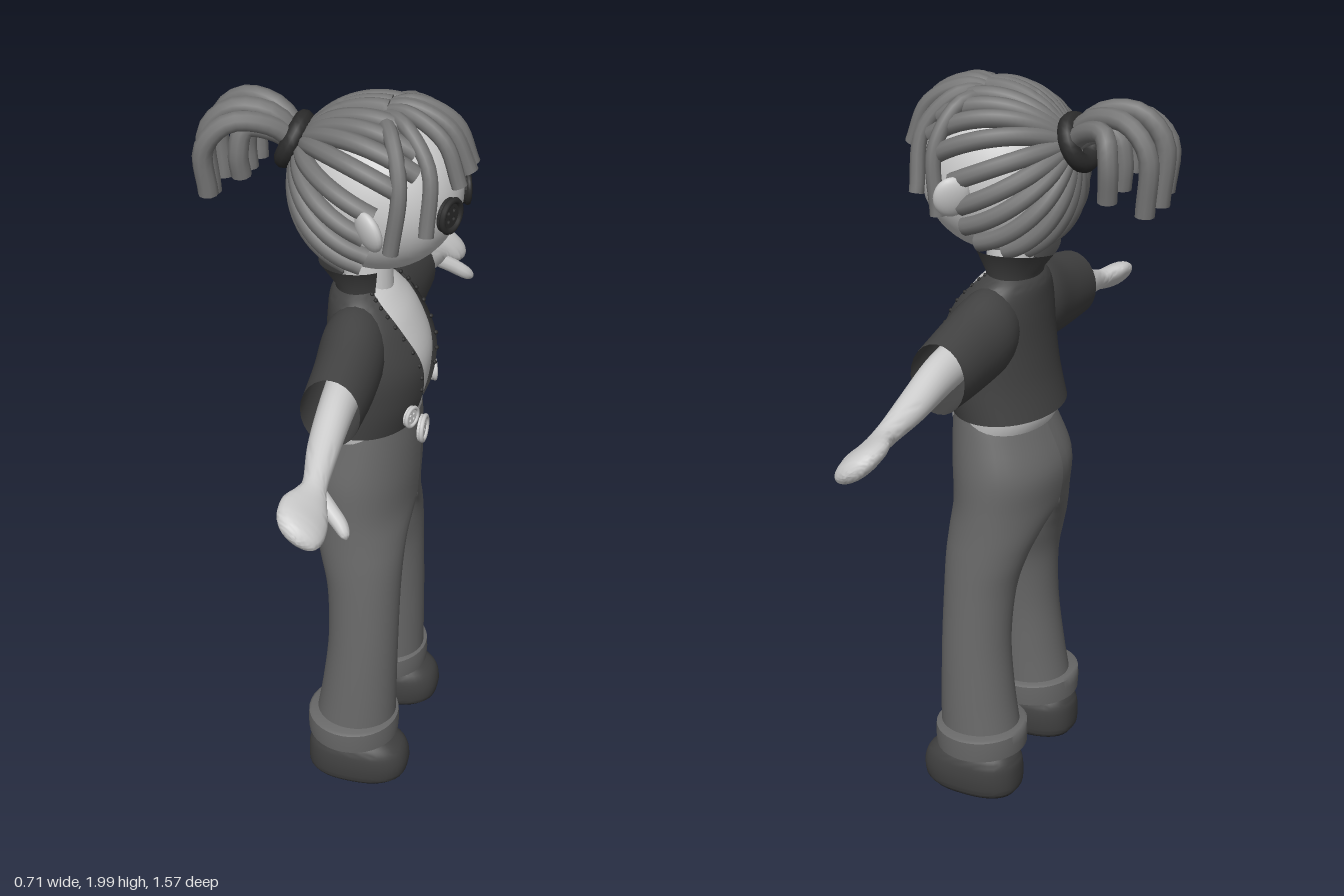
import * as THREE from 'three';
import { toCreasedNormals } from 'three/addons/utils/BufferGeometryUtils.js';

const V = (x, y, z) => new THREE.Vector3(x, y, z);
const mat = (color, side = THREE.FrontSide) => new THREE.MeshStandardMaterial({ color, side });
const skin = mat(0xcccccc), hair = mat(0x757575), dark = mat(0x2b2b2b), denim = mat(0x686868);
const cloth = mat(0x424242, THREE.DoubleSide), shoeMat = mat(0x404040);

function add(parent, name, geometry, material) {
  const mesh = new THREE.Mesh(geometry, material);
  mesh.name = name;
  parent.add(mesh);
  return mesh;
}

// Catmull-Rom resampling of rows of numbers
function smooth(rows, k = 5) {
  const out = [], last = rows.length - 1;
  for (let i = 0; i < last; i++) {
    const [a, b, c, d] = [rows[Math.max(i - 1, 0)], rows[i], rows[i + 1], rows[Math.min(i + 2, last)]];
    for (let s = 0; s < k; s++) {
      const t = s / k;
      out.push(b.map((v, j) => {
        const slope = c[j] - a[j], bend = 2 * a[j] - 5 * v + 4 * c[j] - d[j], twist = 3 * (v - c[j]) + d[j] - a[j];
        return v + 0.5 * t * (slope + t * (bend + t * twist));
      }));
    }
  }
  out.push(rows[last]);
  return out;
}

// Skin over a stack of rings
function loft(rings, { closed = true, caps = true, crease = 0.9 } = {}) {
  const n = rings[0].length, pos = rings.flat().flatMap(p => [p.x, p.y, p.z]), idx = [];
  for (let i = 0; i < rings.length - 1; i++) {
    for (let j = 0; j < (closed ? n : n - 1); j++) {
      const a = i * n + j, b = i * n + (j + 1) % n, c = a + n, d = b + n;
      idx.push(a, c, b, b, c, d);
    }
  }
  if (caps) [0, rings.length - 1].forEach(r => {
    const mid = rings[r].reduce((s, p) => s.add(p), V(0, 0, 0)).divideScalar(n), m = pos.length / 3;
    pos.push(mid.x, mid.y, mid.z);
    for (let j = 0; j < n; j++) {
      const a = r * n + j, b = r * n + (j + 1) % n;
      if (r) idx.push(a, m, b); else idx.push(a, b, m);
    }
  });
  const g = new THREE.BufferGeometry();
  g.setAttribute('position', new THREE.Float32BufferAttribute(pos, 3));
  g.setIndex(idx);
  return toCreasedNormals(g, crease);
}

const ring = (n, f) => Array.from({ length: n }, (_, j) => f(Math.cos(j / n * Math.PI * 2), Math.sin(j / n * Math.PI * 2)));
const round = (v, p) => Math.sign(v) * Math.pow(Math.abs(v), p);

// Upright form, rows: [y, centre x, half width, back z, front z]
const upright = (rows, p = 1) => loft(rows.map(([y, cx, rx, z0, z1]) =>
  ring(36, (c, s) => V(cx + rx * round(c, p), y, (z0 + z1) / 2 + (z1 - z0) / 2 * round(s, p)))));

// Sideways form, rows: [x, centre y, half height, centre z, half depth, tilt]
const sideways = (rows, opts) => loft(rows.map(([x, cy, ry, cz, rz, tilt]) =>
  ring(24, (c, s) => V(x, cy + ry * c + tilt * rz * s, cz - rz * s))), opts);

// Strand along a smooth curve with flat ends; radius is a function of the position along it
function strand(points, radius, steps = 16, sides = 10) {
  const curve = new THREE.CatmullRomCurve3(points), f = curve.computeFrenetFrames(steps);
  return loft(Array.from({ length: steps + 1 }, (_, i) => {
    const p = curve.getPointAt(i / steps), r = radius(i / steps);
    return ring(sides, (c, s) => p.clone().addScaledVector(f.normals[i], r * c).addScaledVector(f.binormals[i], -r * s));
  }));
}

// Four-hole sewing button facing +z
function button(parent, name, r, material, x, y, z, yaw = 0) {
  const g = new THREE.Group();
  g.name = name;
  const disc = new THREE.Shape().absarc(0, 0, r * 0.92, 0, Math.PI * 2);
  for (const a of [-1, 1]) for (const b of [-1, 1])
    disc.holes.push(new THREE.Path().absarc(a * r * 0.24, b * r * 0.24, r * 0.12, 0, Math.PI * 2, true));
  add(g, 'buttonDisc', new THREE.ExtrudeGeometry(disc, { depth: r * 0.3, bevelEnabled: false, curveSegments: 14 }), material);
  add(g, 'buttonRim', new THREE.TorusGeometry(r * 0.83, r * 0.17, 8, 28), material).position.z = r * 0.3;
  g.position.set(x, y, z);
  g.rotation.y = yaw;
  parent.add(g);
}

// Jacket body rows: [y, half width, back z, front z, half opening]
const jacketRows = smooth([
  [1.11, 0.19, -0.07, 0.215, 0.075], [1.2, 0.195, -0.048, 0.24, 0.06], [1.3, 0.195, -0.035, 0.245, 0.078],
  [1.4, 0.175, -0.03, 0.205, 0.1], [1.46, 0.135, -0.025, 0.16, 0.095], [1.49, 0.095, -0.005, 0.125, 0.075]]);

const jacketPoint = ([y, rx, z0, z1], phi) => V(rx * Math.sin(phi), y, (z0 + z1) / 2 + (z1 - z0) / 2 * Math.cos(phi));

function buildHead(body) {
  const head = new THREE.Group();
  head.name = 'head';
  body.add(head);
  const C = V(0, 1.75, 0.1), R = V(0.192, 0.21, 0.208);
  const skull = add(head, 'face', new THREE.SphereGeometry(1, 40, 28), skin);
  skull.scale.copy(R);
  skull.position.copy(C);

  // Swept-back strands from the hairline to the tie
  const tieDir = V(0, 0.41, -0.91).normalize(), hairline = [0.1, 0.35, 0.6, 0.68, 0.5, 0.15, 0.05, 0.05, -0.05, -0.3, -0.5];
  for (const s of [-1, 1]) hairline.forEach((f, i) => {
    const a = (i + 0.25) / hairline.length * Math.PI;
    const from = V(s * Math.sin(a), Math.cos(a), f).normalize(), total = from.angleTo(tieDir);
    const axis = from.clone().cross(tieDir).normalize();
    const pts = Array.from({ length: 9 }, (_, k) =>
      from.clone().applyAxisAngle(axis, total * k / 8).multiply(R).multiplyScalar(1.04).add(C));
    add(head, 'sweptStrand', strand(pts, () => 0.024, 22), hair);
  });

  // Fringe
  add(head, 'fringeStrand', strand([V(0, 1.95, 0.08), V(0, 1.975, 0.17), V(0, 1.93, 0.27), V(0, 1.82, 0.325)], () => 0.021), hair);
  for (const s of [-1, 1]) {
    const paths = [
      [[0.01, 1.95, 0.09], [0.035, 1.972, 0.17], [0.06, 1.92, 0.27], [0.07, 1.81, 0.315]],
      [[0.01, 1.95, 0.1], [0.07, 1.96, 0.17], [0.125, 1.87, 0.25], [0.16, 1.71, 0.255]],
      [[0.02, 1.95, 0.1], [0.11, 1.945, 0.15], [0.178, 1.84, 0.19], [0.195, 1.67, 0.175]]];
    for (const p of paths) add(head, 'fringeStrand', strand(p.map(q => V(s * q[0], q[1], q[2])), () => 0.02), hair);
    const ear = add(head, 'ear', new THREE.SphereGeometry(1, 20, 14), skin);
    ear.scale.set(0.022, 0.056, 0.048);
    ear.position.set(s * 0.212, 1.732, 0.125);
    ear.rotation.set(0, s * 0.7, -s * 0.25);
    button(head, 'buttonEye', 0.048, dark, s * 0.08, 1.737, 0.286, s * 0.35);
  }

  // Tie and ponytail
  const tie = add(head, 'hairTie', new THREE.TorusGeometry(0.055, 0.025, 10, 24), dark);
  tie.position.set(0, 1.85, -0.125);
  tie.rotation.x = 0.42;
  const tails = [[-0.1, -0.32, 1.72, 0], [-0.045, -0.33, 1.7, 0.02], [0.05, -0.33, 1.7, 0.015],
    [0.1, -0.25, 1.74, -0.01], [0.015, -0.25, 1.75, -0.025], [-0.075, -0.24, 1.77, -0.02]];
  for (const [x, z, y, lift] of tails) add(head, 'ponytailStrand', strand([
    V(x * 0.2, 1.84, -0.1), V(x * 0.55, 1.905 + lift, -0.17), V(x * 0.9, 1.915 + lift, -0.13 + z * 0.42),
    V(x * 1.1, 1.85 + lift, z - 0.005), V(x, y, z)], () => 0.026), hair);
}

function buildTorso(body) {
  const torso = jacketRows.map(([y, rx, z0, z1]) => [y, 0, rx * 0.94, z0 + 0.012, z1 - 0.012]);
  add(body, 'torso', upright([[1.06, 0, 0.165, -0.035, 0.195], ...torso]), skin);
  add(body, 'neck', new THREE.CylinderGeometry(0.058, 0.066, 0.14, 24), skin).position.set(0, 1.52, 0.07);

  // Open jacket and flared collar
  const sweep = (n, phi0, f) => Array.from({ length: n + 1 }, (_, j) => f(-phi0 - j / n * (2 * Math.PI - 2 * phi0)));
  const openAngle = r => Math.asin(r[4] / r[1]);
  const sheet = { closed: false, caps: false };
  add(body, 'jacket', loft(jacketRows.map(r => sweep(44, openAngle(r), phi => jacketPoint(r, phi))), sheet), cloth);
  // Collar rows: [y, half width, back z, front z, side lift]
  const collarRows = [[1.45, 0.095, -0.01, 0.125, 0], [1.49, 0.1, -0.015, 0.125, 0.005], [1.54, 0.145, -0.055, 0.145, 0.028]];
  const collarPoint = (r, phi) => jacketPoint(r, phi).add(V(0, r[4] * Math.abs(Math.sin(phi)), 0));
  add(body, 'collar', loft(collarRows.map(r => sweep(36, 0.75, phi => collarPoint(r, phi))), sheet), cloth);

  for (const s of [-1, 1]) {
    // Stitches along the jacket edge
    jacketRows.filter((r, i) => i % 2 === 0 && i > 4).forEach(r => {
      add(body, 'stitch', new THREE.SphereGeometry(0.006, 8, 6), dark).position.copy(jacketPoint(r, s * (openAngle(r) + 0.06)));
    });
    button(body, 'jacketButton', 0.031, skin, s * 0.12, 1.165, 0.213, s * 0.35);
  }
}

function buildArm(side) {
  const arm = new THREE.Group();
  arm.name = side + 'Arm';
  add(arm, 'sleeve', sideways(smooth([
    [0.07, 1.36, 0.1, 0.07, 0.07, 0], [0.14, 1.352, 0.117, 0.07, 0.085, 0], [0.25, 1.33, 0.11, 0.077, 0.083, 0],
    [0.388, 1.313, 0.095, 0.078, 0.077, 0]]), { caps: false }), cloth);
  add(arm, 'forearmAndHand', sideways(smooth([
    [0.25, 1.33, 0.058, 0.085, 0.05, 0], [0.38, 1.31, 0.055, 0.088, 0.045, 0], [0.5, 1.277, 0.042, 0.092, 0.04, 0],
    [0.6, 1.247, 0.032, 0.102, 0.031, 0.1], [0.645, 1.235, 0.031, 0.105, 0.04, 0.4], [0.69, 1.227, 0.034, 0.104, 0.056, 0.5],
    [0.74, 1.218, 0.036, 0.106, 0.057, 0.5], [0.772, 1.212, 0.027, 0.108, 0.042, 0.5], [0.787, 1.21, 0.006, 0.109, 0.01, 0.5]])), skin);
  add(arm, 'thumb', strand([V(0.605, 1.23, 0.11), V(0.632, 1.2, 0.15), V(0.65, 1.175, 0.18), V(0.67, 1.152, 0.2)],
    t => 0.021 * Math.sqrt(Math.max(0.02, 1 - Math.pow(t, 5)))), skin);
  return arm;
}

function buildLeg(side) {
  const leg = new THREE.Group();
  leg.name = side + 'Leg';
  // Rows: [y, centre x, inner width, outer width, back z, front z]; the halves meet at the middle above the crotch
  const rows = smooth([
    [0.17, 0.16, 0.105, 0.107, -0.025, 0.2], [0.3, 0.157, 0.1, 0.101, -0.005, 0.2], [0.45, 0.148, 0.093, 0.098, 0.008, 0.2],
    [0.6, 0.13, 0.09, 0.102, 0, 0.2], [0.7, 0.11, 0.1, 0.112, -0.025, 0.202], [0.77, 0.07, 0.07, 0.144, -0.05, 0.205],
    [0.85, 0, 0, 0.207, -0.076, 0.212], [0.95, 0, 0, 0.2, -0.084, 0.217], [1.05, 0, 0, 0.181, -0.045, 0.217],
    [1.115, 0, 0, 0.168, -0.008, 0.212]]);
  add(leg, 'trouserHalf', loft(rows.map(([y, cx, inner, outer, z0, z1]) => ring(36, (c, s) =>
    V(Math.max(0, cx + (c > 0 ? outer : inner) * c), y, (z0 + z1) / 2 + (z1 - z0) / 2 * s)))), denim);
  add(leg, 'cuff', upright([[0.137, 0.166, 0.128, -0.043, 0.208], [0.17, 0.166, 0.131, -0.045, 0.21],
    [0.197, 0.166, 0.131, -0.043, 0.208], [0.202, 0.166, 0.122, -0.036, 0.2]]), denim);
  add(leg, 'shoe', upright(smooth([[0.005, 0.178, 0.083, -0.03, 0.225], [0.02, 0.178, 0.09, -0.038, 0.24],
    [0.06, 0.178, 0.093, -0.04, 0.245], [0.1, 0.178, 0.086, -0.036, 0.232], [0.128, 0.178, 0.068, -0.018, 0.195],
    [0.142, 0.178, 0.05, 0, 0.15]], 4), 0.8), shoeMat);
  add(leg, 'sole', upright([[0, 0.178, 0.079, -0.026, 0.22], [0.012, 0.178, 0.087, -0.034, 0.234]], 0.8), dark);
  return leg;
}

export function createModel() {
  const root = new THREE.Group(), body = new THREE.Group();
  root.name = 'ragDoll';
  body.name = 'body';
  body.rotation.y = Math.PI / 2;
  root.add(body);
  buildHead(body);
  buildTorso(body);
  for (const [side, s] of [['left', 1], ['right', -1]]) {
    for (const limb of [buildArm(side), buildLeg(side)]) {
      limb.scale.x = s;
      body.add(limb);
    }
  }
  button(body, 'waistButton', 0.04, skin, 0, 1.055, 0.213);
  return root;
}
